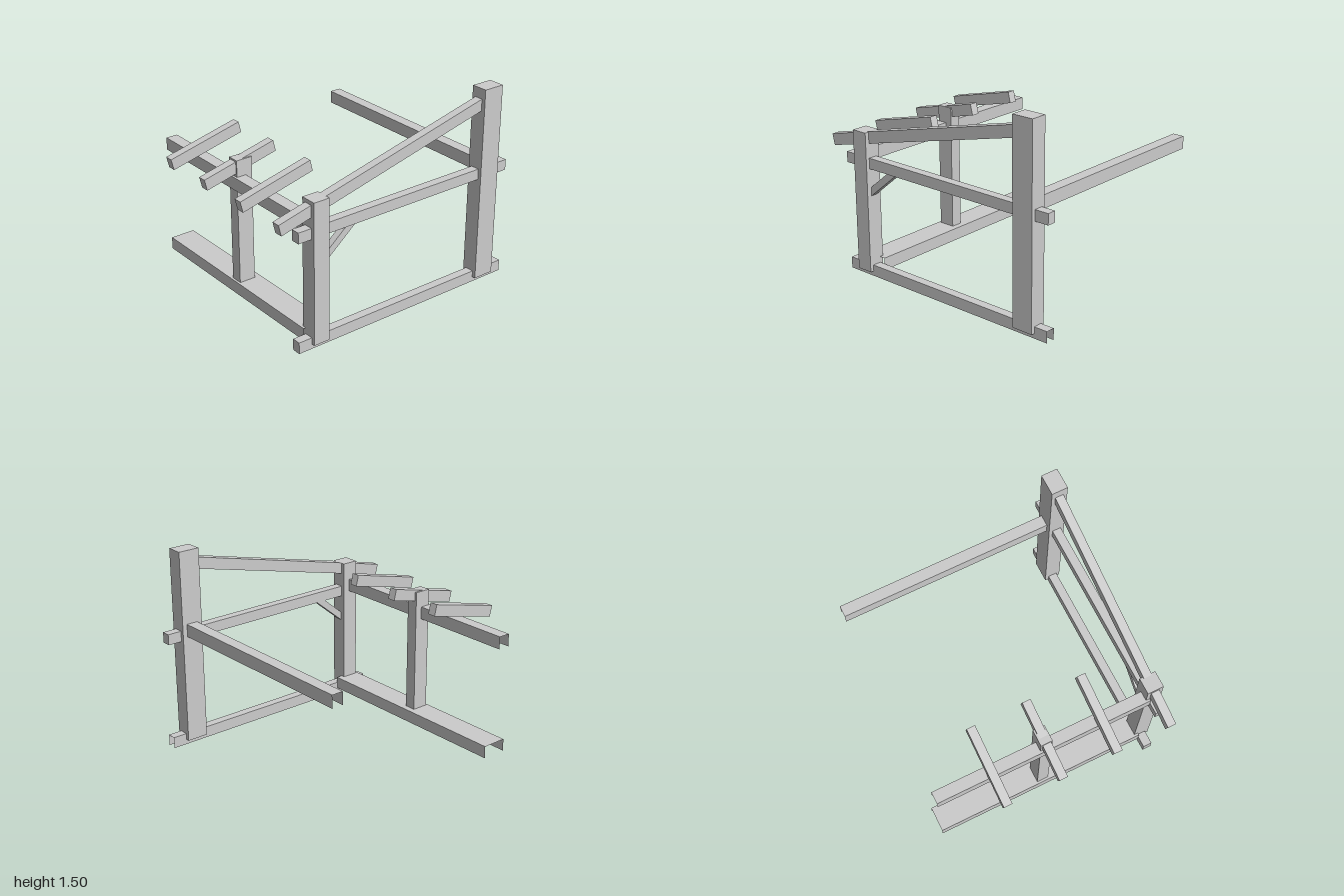
import * as THREE from 'three';

const material = new THREE.MeshStandardMaterial({ color: 0xcccccc, flatShading: true, side: THREE.DoubleSide });
const SIDES = ['+x', '-x', '+y', '-y', '+z', '-z'];

// Timber given by its x, y and z ranges; sides listed in open are left out
function timber(name, [x0, x1], [y0, y1], [z0, z1], open = []) {
  const geometry = new THREE.BoxGeometry(x1 - x0, y1 - y0, z1 - z0);
  const index = Array.from(geometry.index.array);
  geometry.setIndex(index.filter((_, i) => !open.includes(SIDES[Math.floor(i / 6)])));
  geometry.clearGroups();
  geometry.translate((x0 + x1) / 2, (y0 + y1) / 2, (z0 + z1) / 2);
  const mesh = new THREE.Mesh(geometry, material);
  mesh.name = name;
  return mesh;
}

// Sloping rafter, hung from its upper eaves corner
function rafter(name, length, z) {
  const mesh = timber(name, [0, length], [-0.085, 0], [-0.032, 0.032]);
  mesh.position.set(-1, 1.0, z);
  mesh.rotation.z = 0.241;
  return mesh;
}

export function createModel() {
  const model = new THREE.Group();
  model.name = 'timberFrame';

  // Posts
  const postX = [-0.745, -0.62];
  const frontZ = [0.75, 0.873];
  model.add(timber('tallPost', [0.728, 0.892], [0.037, 1.5], frontZ));
  model.add(timber('frontPost', postX, [0.037, 1.09], frontZ));
  model.add(timber('middlePost', postX, [0.037, 1.075], [-0.076, 0.013]));

  // Cross rails of the front frame
  const railZ = [0.778, 0.845];
  model.add(timber('bottomRail', [-0.85, 1], [0, 0.085], railZ, ['+x', '-y']));
  model.add(timber('tieBeam', [-0.85, 1], [0.82, 0.9], railZ));

  // Long beams running back, open below and at the ends
  const open = ['-y', '+z', '-z'];
  const beamZ = [-0.873, 0.78];
  model.add(timber('sill', [-0.762, -0.572], [0.037, 0.13], beamZ, open));
  model.add(timber('eavesPlate', [-0.762, -0.672], [0.857, 0.952], beamZ, open));
  model.add(timber('tallSidePlate', [0.768, 0.856], [0.857, 0.952], beamZ, open));

  // Rafters: one full length at the front, three short ones behind
  model.add(rafter('frontRafter', 1.83, 0.81));
  for (const z of [0.391, -0.03, -0.451]) model.add(rafter('shortRafter', 0.587, z));

  // Diagonal brace between front post and tie beam
  const outline = [[-0.63, 0.607], [-0.37, 0.822], [-0.45, 0.822], [-0.63, 0.672]];
  const shape = new THREE.Shape(outline.map(([x, y]) => new THREE.Vector2(x, y)));
  const brace = new THREE.Mesh(new THREE.ExtrudeGeometry(shape, { depth: 0.05, bevelEnabled: false }), material);
  brace.name = 'brace';
  brace.position.z = 0.786;
  model.add(brace);

  return model;
}
